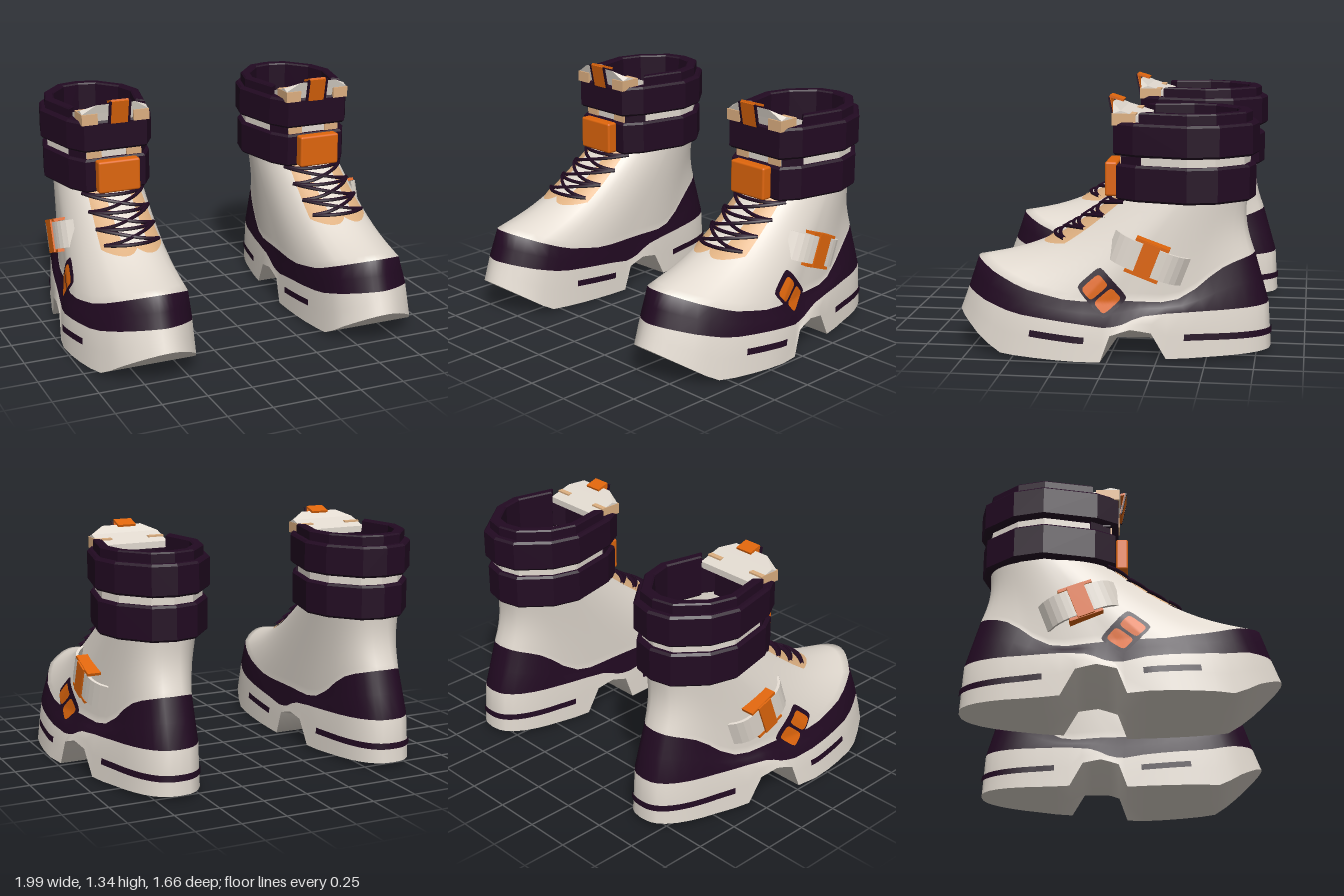
import * as THREE from 'three';
import { mergeVertices } from 'three/addons/utils/BufferGeometryUtils.js';
import { RoundedBoxGeometry } from 'three/addons/geometries/RoundedBoxGeometry.js';

const V = (x, y, z) => new THREE.Vector3(x, y, z);
const mix = THREE.MathUtils.lerp;
const mat = (name, color) => Object.assign(new THREE.MeshStandardMaterial({ color }), { name });

// Piecewise linear lookup in a short [key, value] table
function lin(table, k) {
  if (k <= table[0][0]) return table[0][1];
  for (let i = 1; i < table.length; i++) {
    const [a, p] = table[i - 1], [b, q] = table[i];
    if (k <= b) return mix(p, q, (k - a) / (b - a));
  }
  return table[table.length - 1][1];
}

// Half widths from heel (-1) to toe (1), outer and inner side
const outerW = [[-1, .28], [-.6, .28], [-.05, .325], [.2, .37], [.6, .38], [.84, .36], [.95, .29], [1, .22]];
const innerW = [[-1, .28], [-.6, .26], [0, .265], [.29, .28], [.6, .3], [.84, .32], [.95, .28], [1, .22]];
// Heights along z of the sole edge and of the band's two edges
const soleY = [[-.83, .03], [-.3, .01], [-.225, .15], [-.12, .17], [-.015, .14], [.033, 0], [.58, .02], [.83, .19]];
const bandLowY = [[-.8, .27], [-.3, .25], [-.16, .235], [-.08, .195], [0, .175], [.15, .2], [.5, .235], [.78, .31]];
const bandTopY = [[-.73, .53], [-.6, .49], [-.5, .42], [-.4, .33], [-.3, .3], [-.1, .31], [.2, .31], [.45, .36], [.6, .42], [.73, .475]];
const rings = [
  { zf: .83, zb: -.825, ko: 1, ki: 1, y: z => lin(soleY, z) },
  { zf: .785, zb: -.81, ko: .95, ki: .98, y: z => lin(bandLowY, z) },
  { zf: .73, zb: -.735, ko: .85, ki: .95, y: z => lin(bandTopY, z) },
];
const stations = [1, .997, .985, .96, .91, .84, .76, .68, .58, .45, .32, .18, .04, -.02, -.08, -.145, -.21, -.272, -.363,
  -.48, -.6, -.7, -.79, -.87, -.93, -.97, -.99, -1];
const round = c => Math.pow(Math.max(0, 1 - c * c), .4);

// Point on the boot: side +1 outer / -1 inner, c heel to toe, v sole edge (0) to ankle (3)
function surf(side, c, v) {
  const ring = k => {
    if (k === 3) return V(.615 + side * .23 * round(c), .82, mix(-.69, -.02, (c + 1) / 2));
    const r = rings[k], z = mix(r.zb, r.zf, (c + 1) / 2);
    const w = side > 0 ? lin(outerW, c) * r.ko : lin(innerW, c) * r.ki;
    return V(.635 + side * w * round(c), r.y(z), z);
  };
  const k = Math.min(2, Math.floor(v)), p = ring(k).lerp(ring(k + 1), v - k);
  if (v > 2) {
    const bulge = Math.sin(Math.PI * (v - 2));
    p.y -= .07 * bulge * Math.max(0, c);
    p.z += .02 * bulge * Math.max(0, -c);
  }
  return p;
}

// Point on the instep: q across (-1..1), t from toe band to ankle, lifted outwards
function instep(q, t, lift) {
  const c = Math.sqrt(1 - Math.pow(Math.abs(q), 2.5));
  return surf(q < 0 ? -1 : 1, c, 2 + t).add(V(q * lift * .6, lift * .8, lift * .6));
}

function grid(rows) {
  const n = rows[0].length, index = [];
  for (let r = 0; r < rows.length - 1; r++)
    for (let i = 0; i < n - 1; i++) {
      const a = r * n + i, d = a + n;
      index.push(a, a + 1, d + 1, a, d + 1, d);
    }
  let g = new THREE.BufferGeometry().setFromPoints(rows.flat());
  g.setIndex(index);
  g = mergeVertices(g);
  g.computeVertexNormals();
  return g;
}
const range = (n, a, b) => Array.from({ length: n + 1 }, (_, i) => mix(a, b, i / n));
const toShape = pts => new THREE.Shape(pts.map(p => new THREE.Vector2(...p)));

// Cuff outline [x, z], from the front round the outer side and heel
const cuff = [[.79, -.01], [.855, -.12], [.918, -.4], [.875, -.56], [.74, -.72], [.61, -.75],
  [.48, -.72], [.345, -.56], [.302, -.4], [.365, -.12], [.43, -.01]];
const cuffPts = k => cuff.map(([x, z]) => new THREE.Vector2(.61 + (x - .61) * k, -(-.37 + (z + .37) * k)));
function extrudeUp(shape, y0, y1, bevel) {
  return new THREE.ExtrudeGeometry(shape, {
    depth: y1 - y0 - 2 * bevel, bevelEnabled: bevel > 0, bevelSize: bevel, bevelThickness: bevel,
    bevelOffset: -bevel, bevelSegments: 1,
  }).rotateX(-Math.PI / 2).translate(0, y0 + bevel, 0);
}
function cuffRing(k, hole, y0, y1, bevel = 0) {
  const shape = new THREE.Shape(cuffPts(k));
  shape.holes.push(new THREE.Path(cuffPts(hole)));
  return extrudeUp(shape, y0, y1, bevel);
}

// Reflected copy of a mesh with its transform baked in and corners reordered
function mirrored(mesh) {
  const g = mesh.geometry.clone().applyMatrix4(mesh.matrixWorld);
  g.applyMatrix4(new THREE.Matrix4().makeScale(-1, 1, 1));
  const idx = g.index ? Array.from(g.index.array) : Array.from({ length: g.attributes.position.count }, (_, i) => i);
  for (let i = 0; i < idx.length; i += 3) [idx[i + 1], idx[i + 2]] = [idx[i + 2], idx[i + 1]];
  g.setIndex(idx);
  const m = new THREE.Mesh(g, mesh.material);
  m.name = mesh.name;
  return m;
}

export function createModel() {
  const white = mat('offWhite', 0xe2dad0), dark = mat('darkPlum', 0x220a22);
  const orange = mat('orange', 0xe0660c), tan = mat('tan', 0xdeb081);
  const boot = new THREE.Group();
  boot.name = 'leftBoot';
  const add = (name, geo, material, x = 0, y = 0, z = 0, parent = boot) => {
    const m = new THREE.Mesh(geo, material);
    m.name = name;
    m.position.set(x, y, z);
    parent.add(m);
    return m;
  };
  const box = (w, h, d) => new THREE.BoxGeometry(w, h, d);

  // Body: sole wall, dark band and upper in one smooth skin
  const levels = [0, .5, 1, 1.5, 2, ...range(10, 2.08, 3)];
  const bodyGeo = grid(levels.map(v => [
    ...stations.map(c => surf(1, c, v)), ...[...stations].reverse().map(c => surf(-1, c, v))]));
  const perRow = (stations.length * 2 - 1) * 6;
  bodyGeo.addGroup(0, perRow * 2, 0);
  bodyGeo.addGroup(perRow * 2, perRow * 2, 1);
  bodyGeo.addGroup(perRow * 4, bodyGeo.index.count - perRow * 4, 0);
  const body = add('body', bodyGeo, [white, dark]);

  // Underside with a ridge through the arch
  add('soleBottom', grid(stations.map(c => {
    const l = surf(1, c, 0), r = surf(-1, c, 0), m = l.clone().lerp(r, .5);
    if (m.z < .3) m.y = Math.min(m.y, .05);
    return [l, m, r];
  })), white);

  // Grooves painted on the sole: two at the forefoot, one round the heel
  const groove = (name, path) => add(name, grid([-.017, .017].map(dy => path.map(([side, c, y]) => {
    const a = surf(side, c, 0).y, b = surf(side, c, 1).y;
    return surf(side, c, (y + dy - a) / (b - a)).add(V(side * .008 * round(c), 0, .008 * c));
  }))), dark);
  groove('outerGroove', range(12, .5, .15).map(c => [1, c, mix(.105, .14, c * 2)]));
  groove('innerGroove', range(12, .15, .5).map(c => [-1, c, mix(.105, .14, c * 2)]));
  const heelC = range(40, 0, 1).map(t => -Math.cos(t * Math.PI * .345));
  groove('heelGroove', [...[...heelC].reverse().map(c => [1, c, .125]), ...heelC.map(c => [-1, c, .125])]);

  // Lace panel with a pale tongue strip
  add('lacePanel', grid(range(14, 0, 1).map(u => range(28, -.64, .64).map(q =>
    instep(q, mix(.47 + .6 * (Math.abs(q) - .33) ** 2, .99, u), .006)))), tan);
  add('tongueStrip', grid(range(12, .57, .99).map(t => range(12, -.3, .3).map(q => instep(q, t, .011)))), white);

  // Laces: level rungs and crossings
  const lace = (t0, t1) => add('lace', new THREE.TubeGeometry(new THREE.CatmullRomCurve3(
    range(12, -1, 1).map(u => {
      const t = mix(t0, t1, (u + 1) / 2);
      return instep(u * mix(.58, .74, (t - .55) * 2.4), t, .014);
    })), 24, .0105, 5), dark);
  const rungs = [.56, .69, .82, .95];
  rungs.forEach((t, i) => {
    lace(t, t);
    if (i) { lace(rungs[i - 1], t); lace(t, rungs[i - 1]); }
  });

  // Shaft, open-fronted collar and insole
  add('shaft', cuffRing(.88, .76, .83, 1.06), white);
  const rim = k => cuffPts(k).slice(1, -1);
  add('collar', extrudeUp(new THREE.Shape([...rim(.9), ...rim(.73).reverse()]), 1.04, 1.27, .008), dark);
  add('collarFront', box(.38, .175, .07), dark, .61, 1.125, -.085);
  add('insole', new THREE.ShapeGeometry(new THREE.Shape(cuffPts(.8))).rotateX(-Math.PI / 2).translate(0, .86, 0), white);
  for (const s of [-1, 1]) {
    add('shaftPatch', box(.014, .06, .12), dark, .61 + s * .19, 1.022, -.105).rotation.y = -s * .54;
    add('shaftPanel', box(.085, .06, .012), tan, .61 + s * .115, 1.022, -.05);
  }

  // Ankle straps and front buckle
  add('lowerStrap', cuffRing(.96, .77, .812, 1.0, .012), dark);
  add('upperStrap', cuffRing(1, .745, 1.045, 1.215, .012), dark);
  add('frontBuckle', new RoundedBoxGeometry(.24, .18, .065, 2, .012), orange, .61, .91, .01);

  // Tongue: a sloping wedge, narrower along its top edge, with tan front corners
  const wedge = toShape([[.18, 1.2], [.18, 1.235], [.05, 1.275], [0, 1.31], [.012, 1.26], [.025, 1.2]].reverse());
  const tongueGeo = new THREE.ExtrudeGeometry(wedge, { depth: .38, bevelEnabled: false })
    .translate(0, 0, -.19).rotateY(Math.PI / 2);
  const tp = tongueGeo.attributes.position;
  for (let i = 0; i < tp.count; i++) if (tp.getY(i) > 1.3) tp.setX(i, tp.getX(i) * .58);
  tongueGeo.computeVertexNormals();
  add('tongue', tongueGeo, white, .61);
  for (const s of [-1, 1]) add('tongueCorner', box(.09, .06, .124), tan, .61 + s * .148, 1.23, -.066);

  // Pull tab
  const tab = new THREE.Group();
  tab.name = 'pullTab';
  tab.position.set(.595, 1.265, .015);
  tab.rotation.x = .2;
  boot.add(tab);
  add('tabFront', box(.1, .13, .012), orange, 0, 0, 0, tab);
  add('tabTop', box(.1, .012, .075), orange, 0, .05, -.035, tab).rotation.x = -.5;
  for (const s of [-1, 1]) add('tabEdge', box(.014, .13, .008), dark, s * .056, 0, .003, tab);

  // Plates laid onto the outer wall
  const ray = new THREE.Raycaster();
  const wallX = (y, z) => {
    ray.set(V(3, y, z), V(-1, 0, 0));
    return ray.intersectObject(body)[0].point.x;
  };
  const plate = (name, w, h, y, z, lift, corner, material) => {
    const g = new THREE.PlaneGeometry(w, h, 10, 10), p = g.attributes.position;
    for (let i = 0; i < p.count; i++) {
      const u = p.getX(i) * 2 / w, v = p.getY(i) * 2 / h;
      p.setXY(i, p.getX(i) * (1 - corner * v ** 6), p.getY(i) * (1 - corner * u ** 6));
    }
    g.rotateZ(.72).rotateY(Math.PI / 2).translate(0, y, z);
    for (let i = 0; i < p.count; i++) p.setX(i, wallX(p.getY(i), p.getZ(i)) + lift);
    g.computeVertexNormals();
    add(name, g, material);
  };
  plate('badgeBacking', .165, .22, .355, .03, .006, .08, dark);
  plate('badgeUpper', .12, .08, .385, .066, .012, .12, orange);
  plate('badgeLower', .12, .08, .315, 0, .012, .12, orange);

  // Side clip: pale arched strap held by an orange bar
  const clip = new THREE.Group();
  clip.name = 'sideClip';
  clip.position.set(wallX(.53, -.2), .53, -.2);
  clip.rotation.set(0, Math.PI / 2, -.36, 'YXZ');
  boot.add(clip);
  const arc = (n, half, low, high) => range(n, -1, 1).map(u => [u * half, mix(high, low, u ** 4)]);
  const arch = toShape([...arc(14, .205, -.02, .058), ...arc(14, .19, -.02, .042).reverse()]);
  add('clipStrap', new THREE.ExtrudeGeometry(arch, { depth: .15, bevelEnabled: false })
    .rotateX(Math.PI / 2).translate(0, .075, 0), white, 0, 0, 0, clip);
  add('clipBar', box(.09, .18, .05), orange, 0, 0, .042, clip);
  for (const s of [-1, 1]) add('clipFlange', box(.18, .016, .075), orange, 0, s * .086, .02, clip);

  // Right boot mirrors the left
  const model = new THREE.Group(), right = new THREE.Group();
  model.name = 'boots';
  right.name = 'rightBoot';
  boot.updateMatrixWorld(true);
  boot.traverse(o => { if (o.isMesh) right.add(mirrored(o)); });
  model.add(boot, right);
  return model;
}
